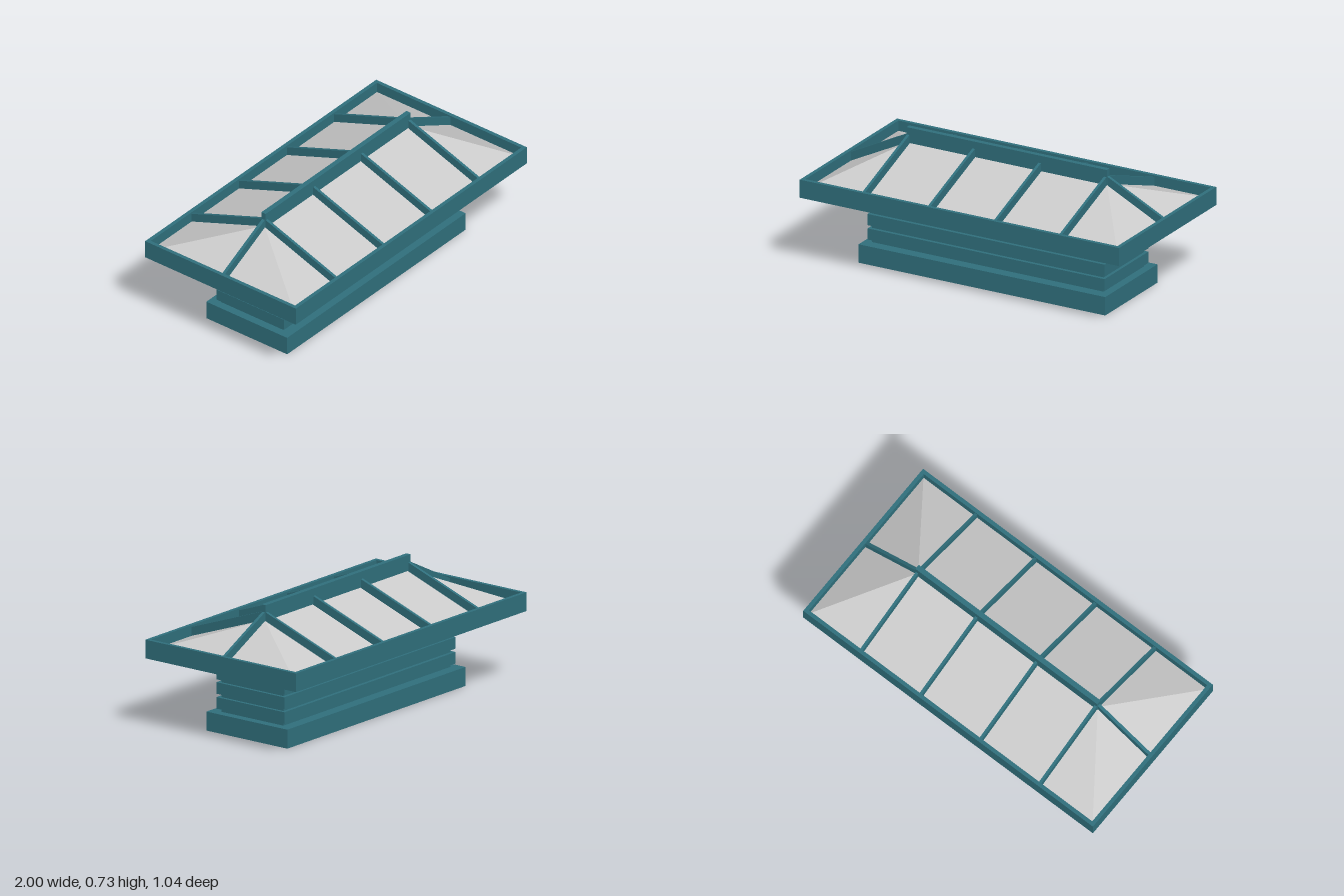
import * as THREE from 'three';

const teal = new THREE.MeshStandardMaterial({ color: 0x30707d });
const grey = new THREE.MeshStandardMaterial({ color: 0xcccccc, side: THREE.DoubleSide, flatShading: true });

// Half extents of the glazed hip roof
const EAVE_X = 0.98, EAVE_Z = 0.5, RIDGE_X = 0.62, EAVE_Y = 0.46, RIDGE_Y = 0.64;

// Box centred on x and z by default, spanning y0..y1
function slab(name, w, d, y0, y1, x = 0, z = 0) {
  const mesh = new THREE.Mesh(new THREE.BoxGeometry(w, y1 - y0, d), teal);
  mesh.name = name;
  mesh.position.set(x, (y0 + y1) / 2, z);
  return mesh;
}

// Sloping bar that runs outwards along +x from the ridge to the eave
function rafterGeometry(start, end, thickness) {
  const depth = 0.05;
  const shape = new THREE.Shape([
    new THREE.Vector2(start, RIDGE_Y),
    new THREE.Vector2(end, EAVE_Y),
    new THREE.Vector2(end, EAVE_Y + depth),
    new THREE.Vector2(start, RIDGE_Y + depth),
  ]);
  return new THREE.ExtrudeGeometry(shape, { depth: thickness, bevelEnabled: false })
    .translate(0, 0, -thickness / 2);
}

// Four glazed slopes meeting at the ridge
function glassGeometry() {
  const corners = [
    [-EAVE_X, EAVE_Y, EAVE_Z], [EAVE_X, EAVE_Y, EAVE_Z],
    [EAVE_X, EAVE_Y, -EAVE_Z], [-EAVE_X, EAVE_Y, -EAVE_Z],
    [-RIDGE_X, RIDGE_Y, 0], [RIDGE_X, RIDGE_Y, 0],
  ].flat();
  const faces = [0, 1, 5, 0, 5, 4, 1, 2, 5, 2, 3, 4, 2, 4, 5, 3, 0, 4];
  const indexed = new THREE.BufferGeometry();
  indexed.setAttribute('position', new THREE.Float32BufferAttribute(corners, 3));
  indexed.setIndex(faces);
  const geometry = indexed.toNonIndexed();
  geometry.computeVertexNormals();
  return geometry;
}

export function createModel() {
  const model = new THREE.Group();
  model.name = 'roofLantern';

  // Plinth and the recessed core behind the louvres
  model.add(slab('base', 1.545, 0.56, 0, 0.107));
  model.add(slab('core', 1.45, 0.43, 0.1, 0.45));

  // Stacked louvre bands
  const bands = [[0.125, 0.19], [0.209, 0.274], [0.29, 0.357], [0.372, 0.445]];
  bands.forEach(([y0, y1], i) => model.add(slab(`louvreBand${i + 1}`, 1.485, 0.47, y0, y1)));

  // Tray floor and its raised rim
  model.add(slab('trayFloor', 1.97, 1.01, 0.44, 0.459));
  for (const s of [-1, 1]) {
    model.add(slab('rimLong', 2, 0.022, 0.415, 0.52, 0, s * 0.511));
    model.add(slab('rimShort', 0.022, 1.0, 0.415, 0.52, s * 0.989, 0));
  }

  // Glazing
  const glass = new THREE.Mesh(glassGeometry(), grey);
  glass.name = 'glass';
  model.add(glass);

  // Ridge beam
  model.add(slab('ridgeBeam', 1.255, 0.029, RIDGE_Y - 0.002, 0.727));

  // Rafters down both long slopes and one down each hip end
  const sideRafter = rafterGeometry(0, EAVE_Z, 0.016);
  const endRafter = rafterGeometry(RIDGE_X, EAVE_X, 0.018);
  for (const s of [-1, 1]) {
    for (const x of [-0.617, -0.207, 0.207, 0.617]) {
      const rafter = new THREE.Mesh(sideRafter, teal);
      rafter.name = 'sideRafter';
      rafter.position.x = x;
      rafter.rotation.y = s * Math.PI / 2;
      model.add(rafter);
    }
    const rafter = new THREE.Mesh(endRafter, teal);
    rafter.name = 'endRafter';
    rafter.rotation.y = s > 0 ? 0 : Math.PI;
    model.add(rafter);
  }
  return model;
}
